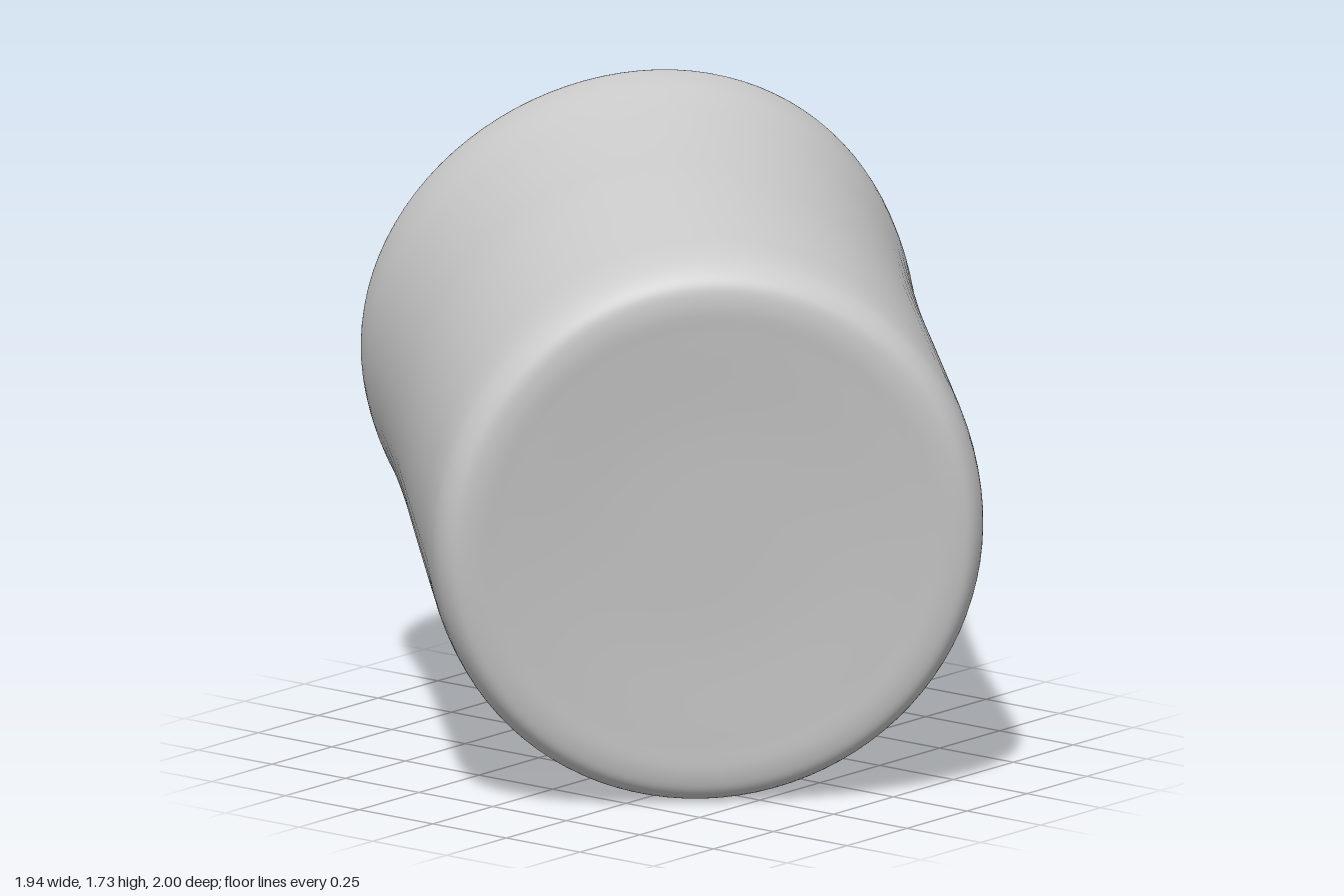
import * as THREE from 'three';
import { mergeVertices } from 'three/addons/utils/BufferGeometryUtils.js';

// A soft, slightly squashed cylinder lying tilted on its rim.
export function createModel() {
  const group = new THREE.Group();
  group.name = 'softCylinder';

  // Half outline as [radius, position along the axis]: nearly flat caps, rounded rims, faint waist
  const outline = new THREE.CatmullRomCurve3([
    [0, -0.655], [0.3, -0.657], [0.55, -0.668], [0.64, -0.67], [0.69, -0.655], [0.722, -0.61],
    [0.733, -0.54], [0.732, -0.4], [0.726, -0.15], [0.719, 0.15], [0.723, 0.42],
    [0.732, 0.6], [0.725, 0.67], [0.695, 0.712], [0.64, 0.724], [0.55, 0.716], [0.3, 0.698], [0, 0.69],
  ].map(([r, l]) => new THREE.Vector3(r, l, 0)), false, 'centripetal');
  const points = outline.getPoints(90).map((p) => new THREE.Vector2(Math.max(p.x, 0), p.y));

  let body = new THREE.LatheGeometry(points, 96);

  // Taller than wide; the low end saddles outward at its sides, the high end shrinks and leans
  const pos = body.attributes.position;
  for (let i = 0; i < pos.count; i++) {
    const x = pos.getX(i), y = pos.getY(i), z = pos.getZ(i) * 1.045;
    const high = Math.max(y, 0), low = Math.min(y, 0);
    pos.setXYZ(i, x + 0.12 * high * z * z, y + 0.12 * low * x * x, z * (1 - 0.035 * high));
  }

  // Tilt: the axis runs from front right, low, to back left, high; the caps stand a little steeper
  const axis = new THREE.Vector3(0.66, 0.188, -0.73);
  const side = new THREE.Vector3(0.72, 0, 0.695);
  const up = new THREE.Vector3().crossVectors(side, axis).normalize().addScaledVector(axis, 0.05);
  body.applyMatrix4(new THREE.Matrix4().makeBasis(side, axis, up));

  // Smooth normals across the seam
  body.deleteAttribute('uv');
  body.deleteAttribute('normal');
  body = mergeVertices(body, 1e-4);
  body.computeVertexNormals();

  // Centre and stand on the ground
  body.center();
  body.computeBoundingBox();
  body.translate(0, -body.boundingBox.min.y, 0);

  const mesh = new THREE.Mesh(body, new THREE.MeshStandardMaterial({ color: 0xcccccc }));
  mesh.name = 'body';
  group.add(mesh);
  return group;
}
